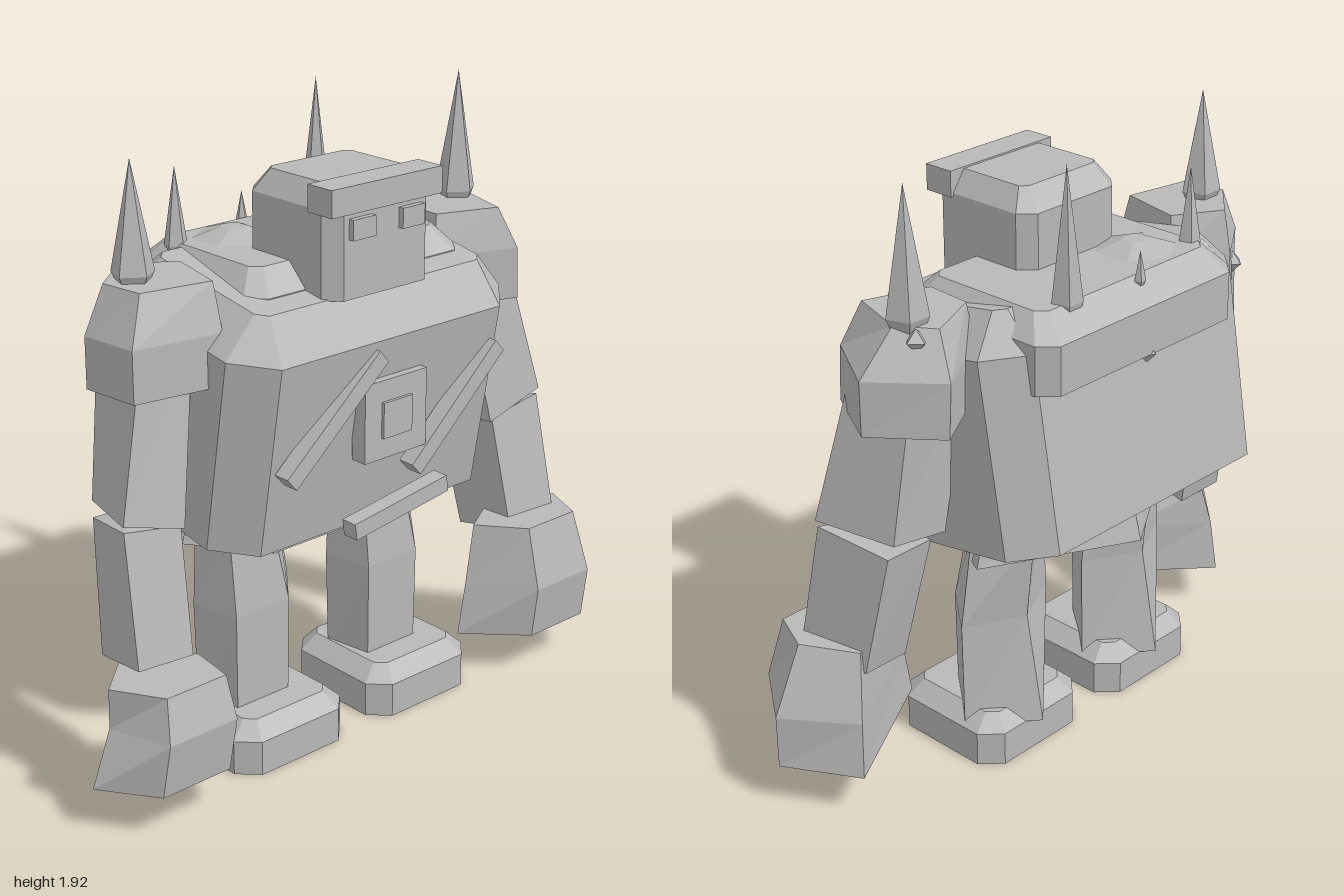
import * as THREE from 'three';

const stone = new THREE.MeshStandardMaterial({ color: 0xb8b8b8, side: THREE.DoubleSide });
stone.name = 'stone grey';

// Flat-faced shell, open below, through rings of [x, y, z], bottom to top, counterclockwise from above
function loft(rings) {
  const out = [];
  const tri = (a, b, c) => out.push(...a, ...b, ...c);
  const n = rings[0].length;
  for (let r = 0; r + 1 < rings.length; r++) {
    const a = rings[r], b = rings[r + 1];
    for (let i = 0; i < n; i++) {
      const j = (i + 1) % n;
      tri(a[i], a[j], b[j]);
      tri(a[i], b[j], b[i]);
    }
  }
  const top = rings[rings.length - 1];
  for (let i = 1; i + 1 < n; i++) tri(top[0], top[i], top[i + 1]);
  const g = new THREE.BufferGeometry();
  g.setAttribute('position', new THREE.Float32BufferAttribute(out, 3));
  g.computeVertexNormals();
  return g;
}

// Faceted copy of a built-in geometry
function faceted(geometry) {
  const g = geometry.index ? geometry.toNonIndexed() : geometry;
  g.computeVertexNormals();
  return g;
}

// Rectangle with cut corners at height y
function octagon(y, x0, x1, z0, z1, c) {
  return [[x0 + c, y, z1], [x1 - c, y, z1], [x1, y, z1 - c], [x1, y, z0 + c],
    [x1 - c, y, z0], [x0 + c, y, z0], [x0, y, z0 + c], [x0, y, z1 - c]];
}

const level = (y, pts) => pts.map(([x, z]) => [x, y, z]);
const mirror = (ring, k) => ring.map(([x, y, z]) => [-x * k, y, z]).reverse();

export function createModel() {
  const model = new THREE.Group();
  model.name = 'stoneGolem';
  const add = (name, geometry, x = 0, y = 0, z = 0) => {
    const m = new THREE.Mesh(geometry, stone);
    m.name = name;
    m.position.set(x, y, z);
    model.add(m);
    return m;
  };
  const box = (name, x0, x1, y0, y1, z0, z1) => add(name,
    new THREE.BoxGeometry(x1 - x0, y1 - y0, z1 - z0), (x0 + x1) / 2, (y0 + y1) / 2, (z0 + z1) / 2);

  // Torso leaning forward, with a bevelled upper edge
  add('torso', loft([
    octagon(0, -0.56, 0.515, -0.34, 0.34, 0.11),
    octagon(0.6, -0.56, 0.515, -0.34, 0.34, 0.11),
    octagon(0.715, -0.455, 0.415, -0.24, 0.24, 0.03),
  ]), 0, 0.778, -0.055).rotation.x = 0.165;

  // Shoulder slab and five-sided pelvis
  add('shoulderSlab', loft([
    octagon(1.31, -0.41, 0.42, -0.36, 0.22, 0.05),
    octagon(1.46, -0.41, 0.42, -0.36, 0.22, 0.05),
    octagon(1.53, -0.35, 0.36, -0.28, 0.15, 0.03),
  ]));
  add('pelvis', loft([
    level(0.675, [[-0.34, 0.21], [0.28, 0.21], [0.43, -0.08], [-0.03, -0.32], [-0.5, -0.02]]),
    level(0.86, [[-0.3, 0.17], [0.24, 0.17], [0.38, -0.08], [-0.03, -0.27], [-0.45, -0.02]]),
  ]));

  // Head, brow and eyes
  add('head', loft([
    octagon(1.44, -0.225, 0.18, -0.055, 0.33, 0.045),
    octagon(1.7, -0.225, 0.18, -0.055, 0.33, 0.045),
    octagon(1.765, -0.18, 0.135, 0, 0.29, 0.02),
  ]));
  box('brow', -0.235, 0.19, 1.69, 1.77, 0.24, 0.34);
  for (const x of [-0.118, 0.072]) box('eye', x - 0.043, x + 0.043, 1.615, 1.675, 0.32, 0.348);

  // Chest plate and bars
  box('chestPlate', -0.145, 0.098, 0.955, 1.195, 0.33, 0.385);
  box('chestCore', -0.08, 0.033, 1.02, 1.13, 0.35, 0.395);
  for (const [x, y, length, angle] of [[-0.25, 1.12, 0.46, 0.71], [0.23, 1.04, 0.46, 0.74], [0.005, 0.78, 0.375, 0.14]]) {
    add('chestBar', new THREE.BoxGeometry(length, 0.052, 0.055), x, y, 0.362).rotation.z = angle;
  }

  // Arms: upper arm and forearm, mirrored
  const upperArm = [
    [[-0.855, 0.9, 0.18], [-0.635, 0.83, 0.17], [-0.56, 0.84, -0.06], [-0.78, 0.88, -0.07]],
    [[-0.74, 1.34, 0.125], [-0.54, 1.34, 0.1], [-0.47, 1.34, -0.08], [-0.72, 1.34, -0.1]],
  ];
  const forearm = [
    [[-0.87, 0.49, 0.25], [-0.67, 0.47, 0.24], [-0.655, 0.43, 0.03], [-0.83, 0.44, 0.02]],
    [[-0.85, 0.88, 0.175], [-0.645, 0.84, 0.165], [-0.61, 0.83, -0.05], [-0.79, 0.835, -0.055]],
  ];
  for (const [name, rings] of [['UpperArm', upperArm], ['Forearm', forearm]]) {
    add('right' + name, loft(rings));
    add('left' + name, loft(rings.map((r) => mirror(r, 0.955))));
  }

  // Five-sided shoulders and fists
  add('rightShoulder', loft([
    level(1.235, [[-0.79, 0.16], [-0.52, 0.2], [-0.45, -0.07], [-0.62, -0.16], [-0.81, -0.03]]),
    level(1.39, [[-0.79, 0.16], [-0.51, 0.2], [-0.44, -0.07], [-0.62, -0.16], [-0.81, -0.03]]),
    level(1.53, [[-0.73, 0.12], [-0.51, 0.16], [-0.46, -0.05], [-0.61, -0.14], [-0.75, -0.02]]),
  ]));
  add('leftShoulder', loft([
    level(1.235, [[0.42, 0.1], [0.69, 0.19], [0.81, -0.03], [0.66, -0.22], [0.43, -0.08]]),
    level(1.4, [[0.41, 0.1], [0.68, 0.19], [0.81, -0.03], [0.65, -0.22], [0.42, -0.08]]),
    level(1.53, [[0.43, 0.08], [0.63, 0.15], [0.69, -0.04], [0.62, -0.15], [0.44, -0.07]]),
  ]));
  add('rightFist', loft([
    level(0.14, [[-0.88, 0.36], [-0.64, 0.36], [-0.555, 0.18], [-0.78, -0.03], [-1, 0.19]]),
    level(0.31, [[-0.87, 0.385], [-0.63, 0.385], [-0.555, 0.18], [-0.78, 0], [-0.935, 0.19]]),
    level(0.44, [[-0.85, 0.35], [-0.64, 0.35], [-0.62, 0.2], [-0.76, 0.03], [-0.94, 0.2]]),
  ]));
  add('leftFist', loft([
    level(0.14, [[0.62, 0.37], [0.86, 0.37], [1, 0.19], [0.87, -0.04], [0.45, 0.2]]),
    level(0.31, [[0.62, 0.39], [0.86, 0.39], [1, 0.19], [0.85, -0.02], [0.48, 0.2]]),
    level(0.51, [[0.62, 0.34], [0.83, 0.34], [0.89, 0.2], [0.8, 0.03], [0.51, 0.2]]),
  ]));

  // Five-sided legs on hollow bevelled feet
  for (const [side, cx] of [['right', -0.29], ['left', 0.245]]) {
    const pentagon = (y, l, r, back, front) => level(y, [
      [cx - 0.13, front], [cx + r - 0.13, front], [cx + r, -0.03], [cx + 0.02, back], [cx - l, -0.03]]);
    add(side + 'Leg', loft([
      pentagon(0.11, 0.155, 0.2, -0.19, 0.13),
      pentagon(0.46, 0.165, 0.205, -0.125, 0.13),
      pentagon(0.76, 0.15, 0.155, -0.16, 0.1),
    ]));
    add(side + 'Foot', loft([
      octagon(0, cx - 0.213, cx + 0.213, -0.155, 0.27, 0.06),
      octagon(0.11, cx - 0.213, cx + 0.213, -0.155, 0.27, 0.06),
      octagon(0.16, cx - 0.16, cx + 0.16, -0.11, 0.22, 0.03),
    ]));
  }

  // Crystal spikes: tall points above, short tails below
  for (const [x, z, base, tip, radius] of [
    [-0.665, 0.005, 1.55, 1.87, 0.064], [0.645, -0.05, 1.55, 1.925, 0.064],
    [0.245, -0.265, 1.53, 1.925, 0.048], [-0.345, -0.215, 1.52, 1.755, 0.036],
    [-0.025, -0.3, 1.52, 1.61, 0.018],
  ]) {
    const h = tip - base, tail = h * 0.4;
    add('spike', faceted(new THREE.ConeGeometry(radius, h, 5)), x, base + h / 2, z);
    add('spikeTail', faceted(new THREE.ConeGeometry(radius, tail, 5).rotateZ(Math.PI)), x, base - tail / 2, z);
  }

  // Low boulder on the back and small pebbles
  add('boulder', faceted(new THREE.CylinderGeometry(0.04, 0.125, 0.03, 6)), -0.185, 1.546, -0.145);
  for (const [x, y, z] of [[-0.71, 1.32, -0.1], [0.67, 1.5, -0.11], [-0.02, 1.31, -0.335], [-0.36, 0.73, -0.11]]) {
    add('pebble', faceted(new THREE.OctahedronGeometry(0.035)), x, y, z);
  }

  return model;
}
